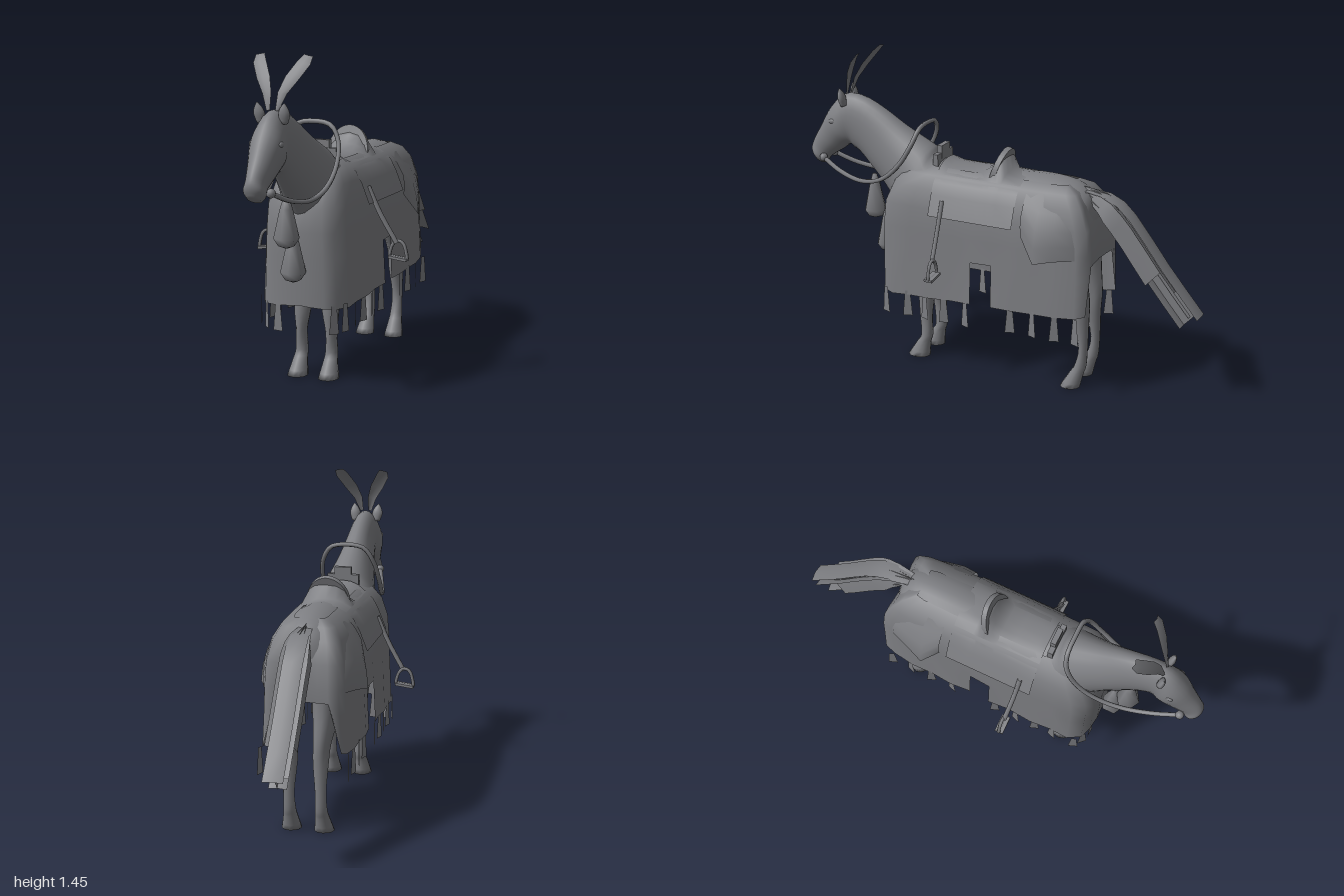
import * as THREE from 'three';

const cloth = new THREE.MeshStandardMaterial({ color: 0x7d7e82, side: THREE.DoubleSide });
cloth.name = 'slate grey';

export function createModel() {
  const root = new THREE.Group();
  const V = (x, y, z) => new THREE.Vector3(x, y, z);
  const add = (name, geo, parent = root) => {
    const m = new THREE.Mesh(geo, cloth);
    m.name = name;
    parent.add(m);
    return m;
  };
  const geometry = (pos, idx) => {
    const g = new THREE.BufferGeometry();
    g.setAttribute('position', new THREE.Float32BufferAttribute(pos, 3));
    g.setIndex(idx);
    g.computeVertexNormals();
    return g;
  };
  // Grid surface from a point function of two indices
  const grid = (nu, nv, fn, skip = () => false) => {
    const pos = [], idx = [];
    for (let i = 0; i < nu; i++) for (let j = 0; j < nv; j++) pos.push(...fn(i, j));
    for (let i = 0; i < nu - 1; i++) for (let j = 0; j < nv - 1; j++) {
      if (skip(i, j)) continue;
      const a = i * nv + j, b = a + nv;
      idx.push(a, a + 1, b + 1, a, b + 1, b);
    }
    return geometry(pos, idx);
  };
  // Smooth loft of elliptical sections [x, y, z, halfWidth, halfHeight, tilt degrees]
  const loft = (secs, sub = 3, n = 18) => {
    const a = new THREE.CatmullRomCurve3(secs.map(s => V(s[0], s[1], s[2])), false, 'catmullrom', 0.5);
    const b = new THREE.CatmullRomCurve3(secs.map(s => V(s[3], s[4], s[5] / 100)), false, 'catmullrom', 0.5);
    const N = (secs.length - 1) * sub, pos = [], idx = [];
    for (let i = 0; i <= N; i++) {
      const c = a.getPoint(i / N), r = b.getPoint(i / N), t = r.z * 100 * Math.PI / 180;
      for (let j = 0; j < n; j++) {
        const q = j / n * Math.PI * 2, h = r.y * Math.sin(q);
        pos.push(c.x + r.x * Math.cos(q), c.y + h * Math.cos(t), c.z + h * Math.sin(t));
      }
    }
    for (let i = 0; i < N; i++) for (let j = 0; j < n; j++) {
      const k = (j + 1) % n, p = i * n, q = p + n;
      idx.push(p + j, p + k, q + k, p + j, q + k, q + j);
    }
    for (let j = 1; j < n - 1; j++) idx.push(0, j + 1, j, N * n, N * n + j, N * n + j + 1);
    return geometry(pos, idx);
  };
  const tube = (pts, r, n = 24) => new THREE.TubeGeometry(new THREE.CatmullRomCurve3(pts), n, r, 6);

  // Body, neck and head
  add('horseBody', loft([
    [0, .77, -.485, .05, .08, 0], [0, .77, -.45, .12, .155, 0], [0, .775, -.36, .16, .195, 0],
    [0, .783, -.2, .172, .198, 0], [0, .772, .05, .165, .192, 0], [0, .78, .25, .162, .195, 0],
    [0, .805, .37, .155, .205, -15], [0, .91, .455, .118, .165, -38], [0, .998, .57, .088, .14, -40],
    [0, 1.07, .67, .07, .128, -34], [0, 1.103, .768, .064, .13, 5], [0, 1.07, .83, .076, .1, 30],
    [0, 1.005, .885, .06, .078, 45], [0, .948, .938, .045, .06, 50], [0, .912, .957, .048, .05, 52],
    [0, .885, .957, .03, .03, 60]], 4, 24));

  // Cloth plan, half outline from rear centre to front centre: [x, z, hem height]
  const half = [[0, -.5, .62], [.07, -.505, .62], [.12, -.51, .62], [.165, -.51, .4], [.185, -.46, .385],
    [.19, -.36, .38], [.195, -.25, .375], [.195, -.15, .375], [.195, -.05, .37], [.195, .05, .37],
    [.195, .15, .365], [.195, .27, .36], [.195, .37, .355], [.19, .46, .35], [.165, .52, .35],
    [.11, .54, .35], [.05, .55, .355], [0, .55, .36]];
  // Height, width scale and length scale
  const levels = [[.962, .4, .72], [.935, .66, .83], [.88, .84, .91], [.79, .95, .98], [.68, .98, 1], [.57, 1, 1], [0, 1.05, 1]];
  const clothPoint = (i, j, s) => {
    const [x, z, hem] = half[i], [y, sx, sz] = levels[j];
    const wave = 1 + .022 * (i % 2 ? 1 : -1) * (j / 6);
    return [s * x * sx * wave, Math.max(y, hem), z * sz];
  };

  for (const s of [1, -1]) {
    const side = new THREE.Group();
    side.name = s > 0 ? 'leftSide' : 'rightSide';
    root.add(side);

    // Draped cloth with a square notch behind the girth
    add('caparison', grid(half.length, 7, (i, j) => clothPoint(i, j, s), (i, j) => i === 8 && j === 5), side);

    // Tapered fringe tabs along the hem
    const w = .034, l = .115;
    const tabShape = new THREE.Shape([[-w * .35, .01], [w * .35, .01], [w * .68, -l], [-w * .68, -l]].map(p => new THREE.Vector2(...p)));
    const tab = (x, y, z, turn) => {
      const m = add('fringeTab', new THREE.ShapeGeometry(tabShape), side);
      m.position.set(s * x, y, z);
      m.rotation.set(0, s * turn, 0);
    };
    [.495, .38, .29, .19, .08, -.15, -.26, -.37, -.47].forEach((z, i) =>
      tab(.2, z > 0 ? .365 : .38, z, Math.PI / 2 + (i % 2 ? .3 : -.35)));
    tab(.16, .355, .525, .8);
    if (s < 0) tab(.1, .35, .54, .1);

    // Rump cover with a flared corner
    const rump = [[.2, .74, -.2], [.245, .635, -.28], [.215, .65, -.36], [.185, .66, -.45], [.13, .66, -.51]];
    const rumpTop = [[.13, .93, -.2], [.13, .93, -.28], [.125, .92, -.36], [.11, .91, -.42], [.06, .9, -.445]];
    add('rumpCover', grid(5, 5, (i, j) => {
      const t = j / 4, bulge = .03 * Math.sin(t * Math.PI);
      return rump[i].map((b, k) => (rumpTop[i][k] * (1 - t) + b * t + (k === 0 ? bulge : 0)) * (k === 0 ? s : 1));
    }), side);

    // Stirrup leather and stirrup
    add('stirrupStrap', tube([V(s * .185, .84, .2), V(s * .24, .72, .195), V(s * .315, .59, .185)], .011, 8), side);
    const bow = [[.31, .6], [.29, .575], [.28, .53], [.32, .522], [.362, .52], [.352, .575], [.335, .598]];
    add('stirrup', new THREE.TubeGeometry(new THREE.CatmullRomCurve3(bow.map(p => V(s * p[0], p[1], .18)), true, 'catmullrom', .3), 28, .008, 6), side);
    const tread = add('stirrupTread', new THREE.BoxGeometry(.085, .012, .04), side);
    tread.position.set(s * .322, .522, .18);
    tread.rotation.z = -s * .12;

    // Legs with hooves
    add('frontLeg', loft([[s * .08, .7, .38, .07, .11, 90], [s * .07, .5, .36, .052, .075, 90],
      [s * .068, .38, .345, .04, .045, 90], [s * .068, .29, .35, .038, .037, 90], [s * .072, .2, .352, .025, .031, 90],
      [s * .072, .11, .348, .029, .028, 90], [s * .073, .07, .365, .033, .034, 90], [s * .075, 0, .39, .046, .055, 90]], 3, 12), side);
    add('hindLeg', loft([[s * .085, .78, -.36, .075, .12, 90], [s * .085, .58, -.38, .065, .095, 90],
      [s * .075, .43, -.435, .042, .053, 90], [s * .07, .33, -.447, .036, .037, 90], [s * .072, .2, -.46, .026, .021, 90],
      [s * .072, .11, -.448, .029, .028, 90], [s * .073, .07, -.43, .033, .034, 90], [s * .075, 0, -.4, .046, .047, 90]], 3, 12), side);

    // Leaf-shaped ear
    const ear = add('ear', loft([[0, .065, 0, .003, .003, -90], [0, .04, 0, .02, .012, -90],
      [0, .015, 0, .026, .016, -90], [0, -.02, 0, .018, .014, -90]].reverse(), 3, 10), side);
    ear.position.set(s * .054, 1.2, .79);
    ear.rotation.set(.2, 0, -s * .12);

    // Eye ridge and bit ring
    const eye = add('eyeRidge', new THREE.SphereGeometry(.018, 10, 8), side);
    eye.scale.set(.5, .7, 1);
    eye.position.set(s * .067, 1.1, .845);
    add('bitBoss', new THREE.SphereGeometry(.02, 10, 8), side).position.set(s * .05, .91, .91);

    // Curved plume blade: rows of [x, y, z, halfWidth]
    const plume = [[.02, 1.23, .785, .008], [.035, 1.3, .765, .02], [.065, 1.36, .735, .03], [.1, 1.42, .695, .03], [.11, 1.45, .668, .02]];
    add('plume', grid(5, 3, (i, j) => {
      const [x, y, z, pw] = plume[i], o = (j - 1) * pw;
      return [s * (x + o), y - o * .2, z + (j === 1 ? .006 : 0)];
    }), side);
  }

  // Reins looping over the neck
  const rein = [[.05, .91, .91], [.08, .865, .8], [.11, .845, .67], [.13, .875, .55], [.138, .96, .45], [.122, 1.06, .39], [.08, 1.125, .372]];
  add('reins', tube([...rein.map(p => V(...p)), V(0, 1.14, .37), ...rein.map(p => V(-p[0], p[1], p[2])).reverse()], .011, 64));

  // Saddle: seat sweeping up to the cantle, with flared flaps
  const rows = [[.26, .02], [.22, 0], [.12, -.004], [.05, 0], [.01, .025], [-.015, .06], [-.04, .09], [-.065, .005], [-.16, .002]];
  const cross = [[0, .972, 1], [.045, .968, .95], [.08, .96, .6], [.115, .943, 0], [.15, .912, 0], [.178, .86, 0], [.214, .768, 0]];
  add('saddle', grid(rows.length, 13, (i, j) => {
    const [z, rise] = rows[i], [x, y, f] = cross[Math.abs(j - 6)];
    return [Math.sign(j - 6) * x, y + rise * f, z];
  }));
  add('pommel', new THREE.BoxGeometry(.15, .07, .025)).position.set(0, .98, .29);
  add('pommelHorn', new THREE.BoxGeometry(.08, .06, .025)).position.set(0, 1.02, .287);
  const arch = new THREE.Shape();
  arch.absellipse(0, 0, .1, .13, 0, Math.PI, false);
  const cantle = add('cantle', new THREE.ExtrudeGeometry(arch, { depth: .025, bevelEnabled: false, curveSegments: 16 }));
  cantle.position.set(0, .945, -.02);
  cantle.rotation.x = -.3;

  // Chest tassels
  for (const [y, z] of [[.63, .66], [.47, .595]]) {
    const profile = [[0, 0], [.035, .012], [.056, .045], [.028, .17], [.012, .22], [0, .22]];
    const bell = new THREE.LatheGeometry(profile.map(p => new THREE.Vector2(...p)), 6);
    add('chestTassel', bell).position.set(0, y, z);
  }

  // Tail made of overlapping strips: [x shift, lift, drift, halfWidth, roll, length]
  const spine = new THREE.CatmullRomCurve3([V(0, .93, -.38), V(0, .895, -.52), V(0, .8, -.62), V(0, .59, -.78), V(0, .385, -.95)]);
  const strips = [[0, .045, .005, .045, 0, 1], [.025, .02, .01, .04, .4, .85], [-.025, .02, 0, .04, -.4, .97],
    [0, -.045, 0, .04, 0, .98], [-.045, -.01, 0, .045, 1.35, .82], [.045, -.01, 0, .045, -1.35, .75], [0, 0, 0, .05, 1.57, .98]];
  for (const [x, lift, drift, w, roll, len] of strips) {
    add('tailStrip', grid(9, 3, (i, j) => {
      const t = i / 8, p = spine.getPoint(t * len), o = (j - 1) * w * (.6 + .4 * Math.min(1, t * 3));
      const up = lift * Math.min(1, t * 3) + drift * t + o * Math.sin(roll) + (j === 1 ? .008 : 0);
      return [x * Math.min(1, t * 2) + o * Math.cos(roll), p.y + up * .75, p.z - up * .7 * Math.min(1, t * 2)];
    }));
  }
  return root;
}
